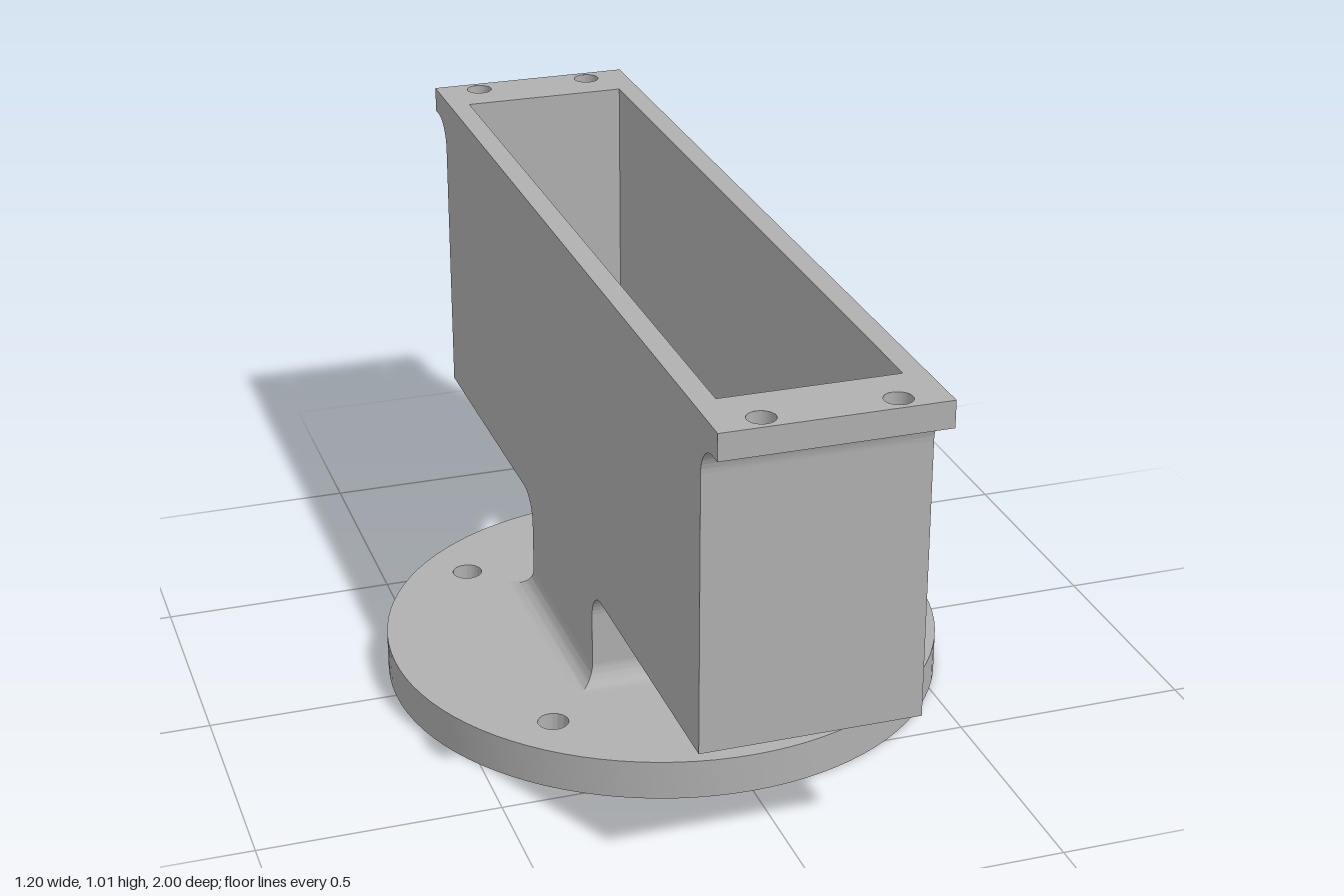
import * as THREE from 'three';
import { toCreasedNormals } from 'three/addons/utils/BufferGeometryUtils.js';

const W = 0.225;      // half width of trough and stem
const IN = 0.18;      // half width of the cavity
const END = 0.91;     // outer end of the trough
const CAV = 0.86;     // inner end of the cavity
const TOP = 1.01, LIP = 0.955, FLOOR = 0.31, BASE = 0.085;
const R = 0.065;      // fillet radius under the end flanges
const BOLT_X = 0.13, BOLT_Z = 0.96, BOLT_R = 0.028;

const grey = new THREE.MeshStandardMaterial({ color: 0xb0b0b0, side: THREE.DoubleSide });
grey.name = 'grey';

function add(parent, name, geometry, x = 0, y = 0, z = 0) {
  const mesh = new THREE.Mesh(geometry, grey);
  mesh.name = name;
  mesh.position.set(x, y, z);
  parent.add(mesh);
  return mesh;
}

function extrude(shape, depth) {
  return new THREE.ExtrudeGeometry(shape, { depth, bevelEnabled: false, curveSegments: 48 });
}

// plan outline (x, -z) raised along y
const raise = (shape, depth) => toCreasedNormals(extrude(shape, depth).rotateX(-Math.PI / 2), 0.5);

// side outline (z, y) spread along x, centred
const spread = (shape, depth) =>
  toCreasedNormals(extrude(shape, depth).translate(0, 0, -depth / 2).rotateY(-Math.PI / 2), 0.5);

function hole(shape, x, y, r) {
  shape.holes.push(new THREE.Path().absarc(x, y, r, 0, Math.PI * 2, true));
}

function rect(x0, y0, x1, y1) {
  return new THREE.Shape([[x0, y0], [x1, y0], [x1, y1], [x0, y1]].map(p => new THREE.Vector2(...p)));
}

// height of the flange underside, fillet included
function under(z) {
  const d = END + R - z;
  return d > 0 ? LIP - R + Math.sqrt(Math.max(0, R * R - d * d)) : LIP;
}

// strip of the flange underside between two x limits given per z
function underside(left, right) {
  const pos = [], idx = [], n = 40;
  for (let i = 0; i <= n; i++) {
    const z = END + (1 - END) * (i / n) ** 2;
    const c = Math.sqrt(Math.max(0, BOLT_R ** 2 - (z - BOLT_Z) ** 2));
    pos.push(left(c), under(z), z, right(c), under(z), z);
    if (i < n) {
      const a = i * 2;
      idx.push(a, a + 1, a + 2, a + 1, a + 3, a + 2);
    }
  }
  const g = new THREE.BufferGeometry();
  g.setAttribute('position', new THREE.Float32BufferAttribute(pos, 3));
  g.setIndex(idx);
  g.computeVertexNormals();
  return g;
}

// one end of the trough: wall plus drilled flange
function createEnd() {
  const end = new THREE.Group();
  add(end, 'endWall', new THREE.BoxGeometry(IN * 2, TOP - FLOOR, END - CAV),
    0, (TOP + FLOOR) / 2, (END + CAV) / 2);

  const top = rect(-IN, -1, IN, -END);
  for (const s of [-1, 1]) hole(top, s * BOLT_X, -BOLT_Z, BOLT_R);
  add(end, 'flangeTop', new THREE.ShapeGeometry(top, 24).rotateX(-Math.PI / 2), 0, TOP, 0);
  add(end, 'flangeEdge', new THREE.PlaneGeometry(IN * 2, TOP - LIP), 0, (TOP + LIP) / 2, 1);

  add(end, 'flangeUnderside', underside(() => -IN, c => -BOLT_X - c));
  add(end, 'flangeUnderside', underside(c => -BOLT_X + c, c => BOLT_X - c));
  add(end, 'flangeUnderside', underside(c => BOLT_X + c, () => IN));

  // bolt hole walls follow the fillet at their lower rim
  for (const s of [-1, 1]) {
    const g = new THREE.CylinderGeometry(BOLT_R, BOLT_R, 1, 32, 1, true);
    const p = g.attributes.position;
    for (let i = 0; i < p.count; i++) p.setY(i, p.getY(i) > 0 ? TOP : under(BOLT_Z + p.getZ(i)));
    add(end, 'boltHoleWall', g, s * BOLT_X, 0, BOLT_Z);
  }
  return end;
}

export function createModel() {
  const model = new THREE.Group();
  model.name = 'troughStand';

  // round base with four bolt holes
  const disc = new THREE.Shape().absarc(0, 0, 0.598, 0, Math.PI * 2, false);
  for (const x of [-0.347, 0.347]) for (const z of [-0.347, 0.347]) hole(disc, x, z, 0.032);
  add(model, 'base', raise(disc, BASE));

  // square stem, flaring into the trough at front and back
  const r = 0.065;
  const stem = new THREE.Shape();
  stem.moveTo(-W, BASE);
  stem.lineTo(W, BASE);
  stem.lineTo(W, FLOOR - r);
  stem.absarc(W + r, FLOOR - r, r, Math.PI, Math.PI / 2, true);
  stem.lineTo(-W - r, FLOOR);
  stem.absarc(-W - r, FLOOR - r, r, Math.PI / 2, 0, true);
  add(model, 'stem', spread(stem, W * 2));

  // mitred cove around the foot of the stem
  const cove = [], cr = 0.047;
  for (let i = 0; i <= 12; i++) {
    const a = (i / 12) * Math.PI / 2;
    cove.push(new THREE.Vector2((W + cr - cr * Math.sin(a)) * Math.SQRT2, BASE + cr - cr * Math.cos(a)));
  }
  const foot = new THREE.LatheGeometry(cove, 4).rotateY(Math.PI / 4);
  foot.deleteAttribute('normal');
  foot.deleteAttribute('uv');
  add(model, 'stemFootFillet', toCreasedNormals(foot, 0.5));

  // side walls with flange outline
  const side = new THREE.Shape();
  side.moveTo(-END, FLOOR);
  side.lineTo(END, FLOOR);
  side.lineTo(END, LIP - R);
  side.absarc(END + R, LIP - R, R, Math.PI, Math.PI / 2, true);
  side.lineTo(1, LIP);
  side.lineTo(1, TOP);
  side.lineTo(-1, TOP);
  side.lineTo(-1, LIP);
  side.lineTo(-END - R, LIP);
  side.absarc(-END - R, LIP - R, R, Math.PI / 2, 0, true);
  for (const s of [-1, 1]) add(model, 'sideWall', spread(side, W - IN), s * (W + IN) / 2);

  // floor with drain hole towards the back
  const floor = rect(-IN, -CAV, IN, CAV);
  hole(floor, 0, 0.438, 0.11);
  add(model, 'floor', raise(floor, 0.055), 0, FLOOR, 0);

  // matching ends
  for (const [name, turn] of [['frontEnd', 0], ['backEnd', Math.PI]]) {
    const end = createEnd();
    end.name = name;
    end.rotation.y = turn;
    model.add(end);
  }
  return model;
}
